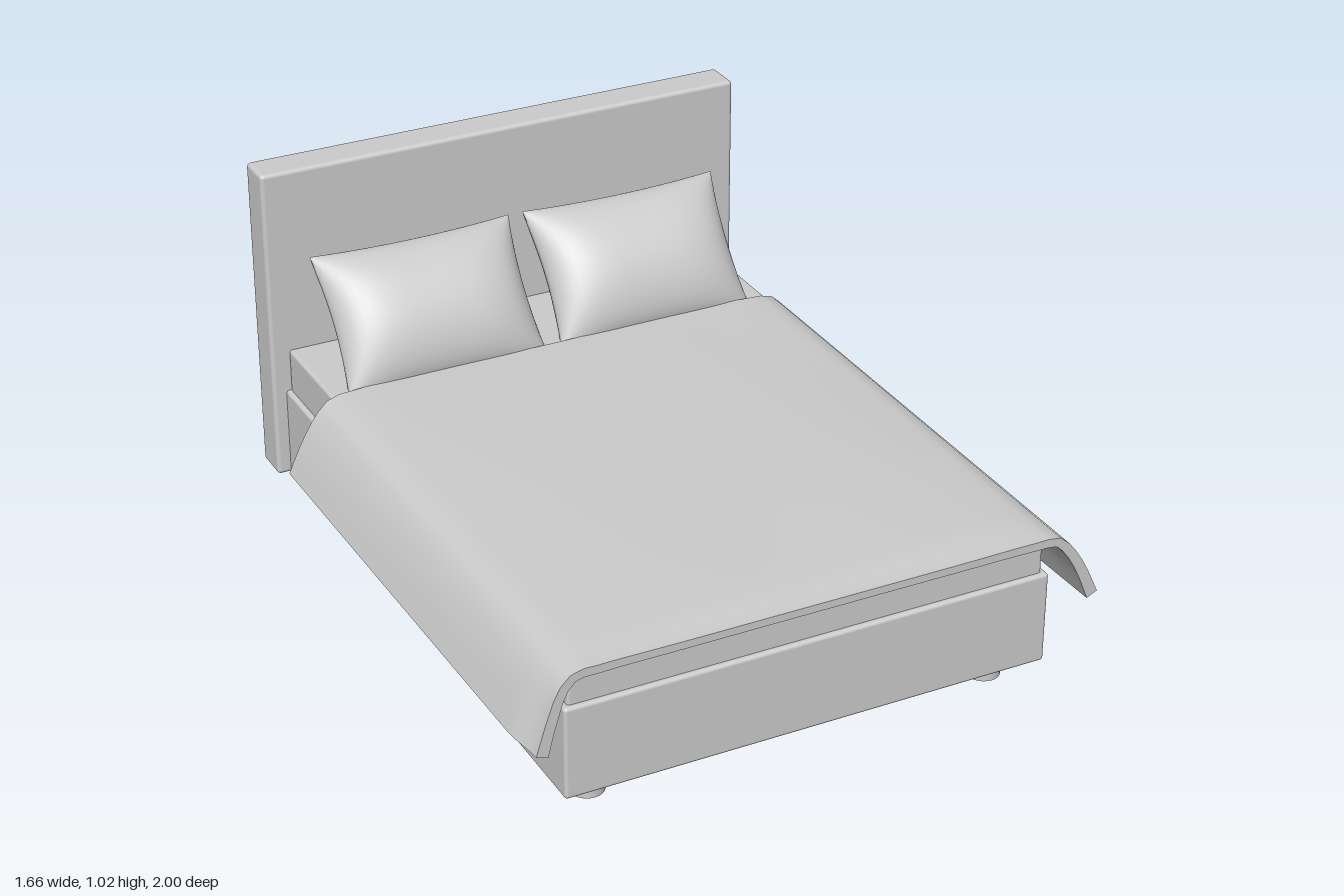
import * as THREE from 'three';
import { toCreasedNormals } from 'three/addons/utils/BufferGeometryUtils.js';
import { RoundedBoxGeometry } from 'three/addons/geometries/RoundedBoxGeometry.js';

const grey = new THREE.MeshStandardMaterial({ color: 0xcccccc });

function add(group, name, geometry, x = 0, y = 0, z = 0) {
  const mesh = new THREE.Mesh(geometry, grey);
  mesh.name = name;
  mesh.position.set(x, y, z);
  group.add(mesh);
  return mesh;
}

// Rounded box given by its lower and upper bounds, centred on x
function slab(group, name, width, y0, y1, z0, z1, radius) {
  const g = new RoundedBoxGeometry(width, y1 - y0, z1 - z0, 3, radius);
  return add(group, name, g, 0, (y0 + y1) / 2, (z0 + z1) / 2);
}

// One padded sheet of a pillow; the front tapers softly, the back is fuller
function pillowSheet(back) {
  const g = new THREE.PlaneGeometry(2, 2, 28, 24);
  const p = g.attributes.position;
  for (let i = 0; i < p.count; i++) {
    const s = Math.sin(p.getX(i) * Math.PI / 2);
    const t = Math.sin(p.getY(i) * Math.PI / 2);
    const puff = back
      ? Math.sqrt(Math.max(0, (1 - s ** 4) * (1 - t ** 6)))
      : Math.max(0, (1 - s ** 4) * (1 - t * t)) ** 0.6;
    const x = s * 0.308 * (1 - 0.06 * (1 - t * t));
    const y = t * 0.212 * (1 - 0.05 * (1 - s * s));
    p.setXYZ(i, back ? -x : x, y, (back ? -0.1 : 0.1) * puff);
  }
  g.computeVertexNormals();
  return g;
}

// Blanket: thick sheet lofted along z, hanging and flaring over both sides
function blanketGeometry() {
  const z0 = -0.555, z1 = 1, rows = 32, cols = 48;
  const pos = [], idx = [], ring = 2 * (cols + 1);
  for (let r = 0; r <= rows; r++) {
    const k = r / rows;
    const z = z0 + (z1 - z0) * Math.sin(k * Math.PI / 2);
    const f = (z - z0) / (z1 - z0);
    const front = THREE.MathUtils.smoothstep(z, 0.88, 1);
    const crown = 0.485 + 0.013 * Math.sin(f * Math.PI) - 0.008 * front;
    // half outline from the shoulder down to the hem
    const half = (hemX, hemY) => [
      [0.4, crown], [0.62, 0.484 - 0.006 * front], [0.7, 0.474], [0.738, 0.44],
      [(hemX + 0.738) / 2, (hemY + 0.45) / 2 + 0.008], [hemX, hemY],
    ];
    const left = half(0.81 + 0.018 * f, 0.262 + 0.016 * f);
    const right = half(0.832 - 0.008 * f - 0.02 * front, 0.268 - 0.01 * front);
    const pts = [...right.reverse().map(([x, y]) => [-x, y]), [0, crown], ...left];
    const curve = new THREE.CatmullRomCurve3(pts.map(([x, y]) => new THREE.Vector3(x, y, 0)), false, 'centripetal');
    const outer = [], inner = [];
    for (let c = 0; c <= cols; c++) {
      const u = c / cols, p = curve.getPointAt(u), d = curve.getTangentAt(u);
      const thick = 0.022 + 0.012 * Math.abs(2 * u - 1) ** 4;
      outer.push([p.x, p.y]);
      inner.unshift([p.x + d.y * thick, p.y - d.x * thick]);
    }
    for (const [x, y] of [...outer, ...inner]) pos.push(x, y, z);
  }
  const quad = (a, b, c, d) => idx.push(a, b, c, a, c, d);
  for (let r = 0; r < rows; r++) {
    for (let i = 0; i < ring; i++) {
      const j = (i + 1) % ring, a = r * ring, b = a + ring;
      quad(a + i, b + i, b + j, a + j);
    }
  }
  // close the two ends
  for (let c = 0; c < cols; c++) {
    const e = rows * ring, m = ring - 1 - c;
    quad(c, c + 1, m - 1, m);
    quad(e + c, e + m, e + m - 1, e + c + 1);
  }
  const g = new THREE.BufferGeometry();
  g.setAttribute('position', new THREE.Float32BufferAttribute(pos, 3));
  g.setIndex(idx);
  return toCreasedNormals(g, 0.8);
}

export function createModel() {
  const bed = new THREE.Group();
  bed.name = 'bed';

  slab(bed, 'headboard', 1.49, 0.07, 1.025, -1, -0.887, 0.012);
  slab(bed, 'bedBase', 1.41, 0.07, 0.34, -0.9, 0.955, 0.01);
  slab(bed, 'mattress', 1.38, 0.33, 0.47, -0.89, 0.94, 0.01);

  // Legs
  for (const x of [-0.59, 0.59]) {
    for (const z of [-0.81, 0.84]) {
      add(bed, 'leg', new THREE.CylinderGeometry(0.047, 0.047, 0.075, 24), x, 0.0375, z);
    }
  }

  add(bed, 'blanket', blanketGeometry());

  // Pillows leaning on the headboard
  for (const x of [-0.33, 0.33]) {
    const pillow = new THREE.Group();
    pillow.name = 'pillow';
    add(pillow, 'pillowFront', pillowSheet(false));
    add(pillow, 'pillowBack', pillowSheet(true));
    pillow.position.set(x, 0.615, -0.69);
    pillow.rotation.x = -0.655;
    bed.add(pillow);
  }
  return bed;
}
